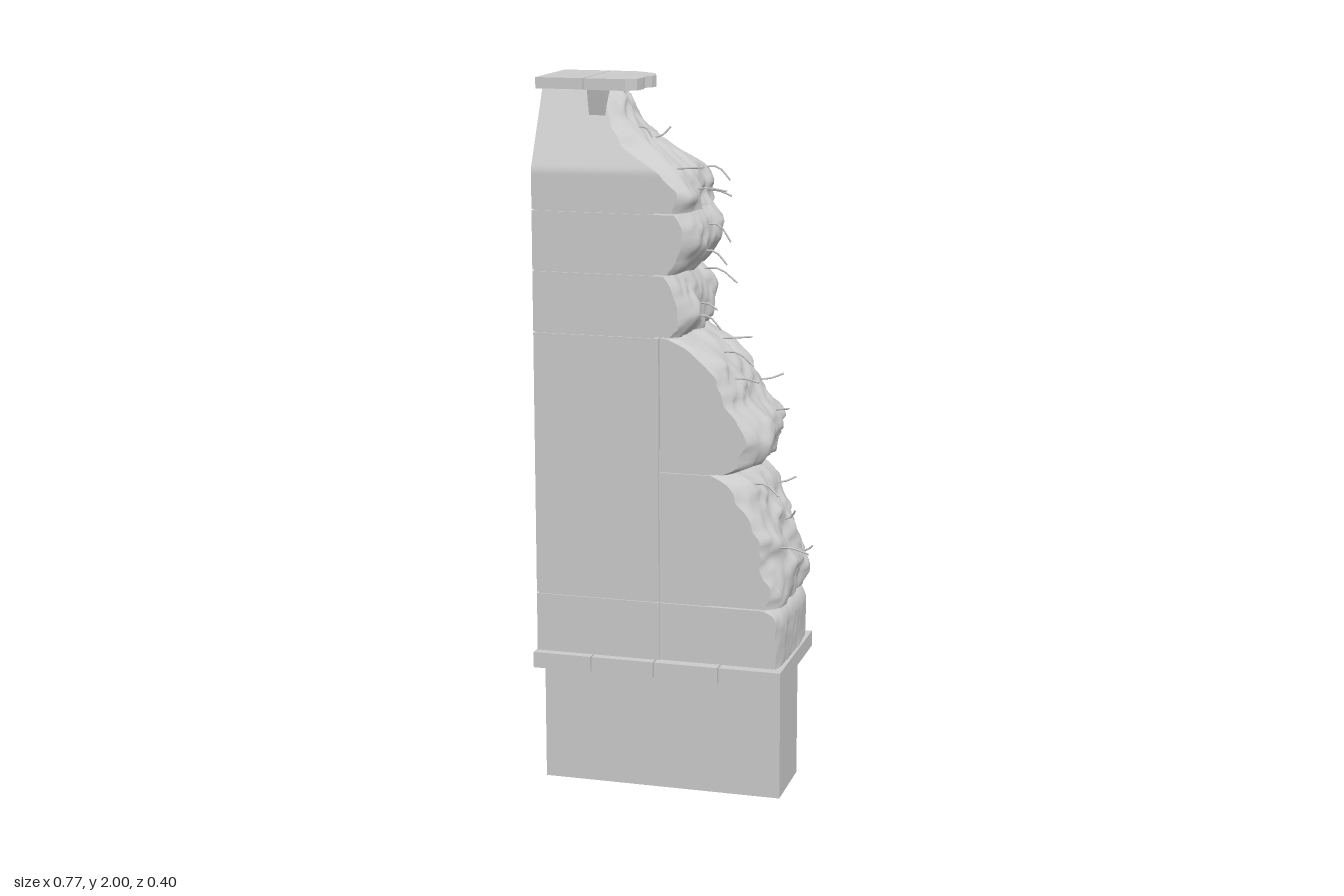
import * as THREE from 'three';

const grey = new THREE.MeshStandardMaterial({ color: 0xcccccc });
const greyOpen = new THREE.MeshStandardMaterial({ color: 0xcccccc, side: THREE.DoubleSide });
const LEFT = -0.378, SEAM = -0.02, GAP = 0.002, Z0 = 0.003;

// Smooth value noise in -1..1
const hash = (i, j) => {
  const s = Math.sin(i * 127.1 + j * 311.7) * 43758.5453;
  return (s - Math.floor(s)) * 2 - 1;
};
function noise(a, b) {
  const i = Math.floor(a), j = Math.floor(b);
  const s = (t) => t * t * (3 - 2 * t);
  const u = s(a - i), v = s(b - j);
  const { lerp } = THREE.MathUtils;
  return lerp(lerp(hash(i, j), hash(i + 1, j), u), lerp(hash(i, j + 1), hash(i + 1, j + 1), u), v);
}

// Half thickness of the wall, narrowing towards the coping
const halfDepth = (y) => 0.172 - 0.107 * Math.max(0, Math.min(1, (y - 1.76) / 0.21));

// Linear lookup in a list of [y, x] points
function lookup(points, y) {
  for (let i = 1; i < points.length; i++) {
    const [y0, x0] = points[i - 1], [y1, x1] = points[i];
    if (y <= y1) return x0 + ((x1 - x0) * Math.max(0, y - y0)) / (y1 - y0);
  }
  return points[points.length - 1][1];
}

// Broken end of each course, bottom to top: [y, x]
const courses = [
  { name: 'footCourse', rough: 0.25, x0: SEAM, edge: [[0.4, 0.325], [0.52, 0.325], [0.55, 0.315], [0.568, 0.28]] },
  { name: 'lowerCourse', rough: 1, x0: SEAM, edge: [[0.568, 0.325], [0.6, 0.335], [0.66, 0.333], [0.72, 0.31], [0.8, 0.285], [0.88, 0.25], [0.92, 0.215], [0.94, 0.16]] },
  { name: 'middleCourse', rough: 1, x0: SEAM, edge: [[0.94, 0.19], [0.965, 0.25], [1.03, 0.27], [1.08, 0.25], [1.15, 0.2], [1.22, 0.16], [1.28, 0.1], [1.312, 0.05]] },
  { name: 'neckCourse', rough: 0.8, x0: LEFT, edge: [[1.312, 0.05], [1.34, 0.07], [1.4, 0.07], [1.45, 0.05], [1.482, 0.025]] },
  { name: 'shoulderCourse', rough: 0.8, x0: LEFT, edge: [[1.482, 0.035], [1.51, 0.06], [1.56, 0.085], [1.61, 0.085], [1.648, 0.06]] },
  { name: 'taperedCourse', rough: 1, x0: LEFT, edge: [[1.648, 0.065], [1.7, 0.065], [1.76, 0.025], [1.79, -0.03], [1.83, -0.09], [1.9, -0.14], [1.97, -0.18]] },
];

// x of the rubble surface; u runs -1..1 across the thickness
function rubbleX(course, y, u) {
  const bump = 0.016 * noise(y * 16, u * 3.2 + 9) + 0.009 * noise(y * 38 + 5, u * 8)
    - 0.014 * Math.max(0, 0.3 - Math.abs(noise(y * 11 + 30, u * 3)));
  return lookup(course.edge, y) + course.rough * (bump - 0.045 * Math.abs(u) ** 5);
}

// Block with flat sides and a crumbled right-hand end
function brokenBlock(course) {
  const y0 = course.edge[0][0] + GAP, y1 = course.edge[course.edge.length - 1][0] - GAP;
  const ny = Math.ceil((y1 - y0) / 0.012);
  const geo = new THREE.BoxGeometry(1, 1, 1, 1, ny, 28);
  const p = geo.attributes.position;
  for (let i = 0; i < p.count; i++) {
    const y = y0 + (p.getY(i) + 0.5) * (y1 - y0);
    const u = p.getZ(i) * 2;
    const x = p.getX(i) > 0 ? rubbleX(course, y, u) : course.x0 + (course.x0 === SEAM ? GAP : 0);
    p.setXYZ(i, x, y, Z0 + u * halfDepth(y));
  }
  geo.computeVertexNormals();
  return geo;
}

function add(parent, name, geometry, material = grey) {
  const mesh = new THREE.Mesh(geometry, material);
  mesh.name = name;
  parent.add(mesh);
  return mesh;
}

function box(parent, name, x0, x1, y0, y1, z0, z1) {
  const mesh = add(parent, name, new THREE.BoxGeometry(x1 - x0, y1 - y0, z1 - z0));
  mesh.position.set((x0 + x1) / 2, (y0 + y1) / 2, (z0 + z1) / 2);
  return mesh;
}

export function createModel() {
  const model = new THREE.Group();
  model.name = 'brokenWallEnd';

  // Foundation: hollow box, open underneath
  const outline = [[LEFT, -0.105], [0.31, -0.105], [0.31, 0.11], [LEFT, 0.11]];
  const sides = new THREE.Group();
  sides.name = 'foundation';
  outline.forEach(([xa, za], i) => {
    const [xb, zb] = outline[(i + 1) % 4];
    const side = add(sides, 'foundationSide', new THREE.PlaneGeometry(Math.hypot(xb - xa, zb - za), 0.36), greyOpen);
    side.position.set((xa + xb) / 2, 0.18, (za + zb) / 2);
    side.rotation.y = Math.atan2(zb - za, -(xb - xa)) + (za === zb ? 0 : Math.PI);
  });
  model.add(sides);

  // Row of ledge slabs
  const joints = [-0.382, -0.213, -0.031, 0.154, 0.33];
  for (let i = 0; i < 4; i++) {
    box(model, 'ledgeSlab', joints[i] + (i ? GAP : 0), joints[i + 1] - (i < 3 ? GAP : 0), 0.355, 0.4, -0.2, 0.2);
  }

  // Intact column and the inner core that closes the joints
  box(model, 'columnFoot', LEFT, SEAM - GAP, 0.4, 0.566, Z0 - 0.172, Z0 + 0.172);
  box(model, 'column', LEFT, SEAM - GAP, 0.57, 1.31, Z0 - 0.172, Z0 + 0.172);
  box(model, 'core', LEFT + 0.004, -0.04, 0.39, 1.7, Z0 - 0.168, Z0 + 0.168);
  box(model, 'lowerCore', -0.05, 0.12, 0.39, 1.0, Z0 - 0.166, Z0 + 0.166);

  // Crumbled courses
  for (const course of courses) add(model, course.name, brokenBlock(course));

  // Bent reinforcing bars: [y, u across thickness, length, rise, sideways]
  const bars = [
    [0.73, 0.7, 0.08, -0.01, -0.01], [0.67, -0.5, 0.03, 0.02, 0.005], [0.78, -0.1, 0.03, 0.03, 0.02],
    [0.9, 0.55, 0.07, -0.02, 0.03], [0.86, -0.6, 0.05, 0.02, -0.01], [1.08, -0.3, 0.035, 0.01, 0.01],
    [1.15, -0.7, 0.06, 0.02, -0.01], [1.19, 0.5, 0.07, 0.0, 0.02], [1.25, 0.2, 0.08, -0.03, 0.0],
    [1.27, -0.4, 0.08, 0.01, -0.01], [1.36, 0.6, 0.06, -0.03, 0.0], [1.38, 0.1, 0.05, -0.01, 0.01],
    [1.46, -0.5, 0.09, -0.03, 0.01], [1.53, 0.3, 0.06, -0.03, 0.0], [1.6, 0.2, 0.06, -0.04, 0.0],
    [1.68, -0.4, 0.07, -0.01, -0.01], [1.7, 0.25, 0.08, 0.0, 0.01], [1.74, -0.6, 0.06, -0.03, 0.0],
    [1.76, 0.55, 0.07, 0.01, 0.02], [1.83, -0.2, 0.04, 0.03, -0.01], [1.86, 0.4, 0.035, -0.02, 0.01],
  ];
  for (const [y, u, len, rise, side] of bars) {
    const course = courses.find((c) => y <= c.edge[c.edge.length - 1][0]);
    const x = rubbleX(course, y, u), z = Z0 + u * halfDepth(y);
    const path = new THREE.CatmullRomCurve3([
      new THREE.Vector3(x - 0.04, y, z),
      new THREE.Vector3(x + len * 0.4, y + 0.006, z + side * 0.3),
      new THREE.Vector3(x + len, y + rise, z + side),
    ]);
    add(model, 'reinforcingBar', new THREE.TubeGeometry(path, 6, 0.0028, 5), greyOpen);
  }

  // Coping: whole slab, snapped slab and the hanger between them
  box(model, 'copingSlab', LEFT, -0.244, 1.97, 2, -0.127, 0.129);
  const snapped = new THREE.Shape([
    [-0.241, -0.127], [-0.17, -0.127], [-0.14, -0.108], [-0.11, -0.085], [-0.094, -0.06], [-0.09, -0.035],
    [-0.08, -0.015], [-0.085, 0.01], [-0.1, 0.03], [-0.092, 0.07], [-0.098, 0.11], [-0.125, 0.129], [-0.241, 0.129],
  ].map(([x, z]) => new THREE.Vector2(x, z)));
  const snappedGeo = new THREE.ExtrudeGeometry(snapped, { depth: 0.031, bevelEnabled: false });
  add(model, 'brokenCopingSlab', snappedGeo.rotateX(Math.PI / 2)).position.y = 2;

  const hangerShape = new THREE.Shape([
    [-0.105, 1.9], [0.107, 1.9], [0.125, 1.971], [-0.122, 1.971],
  ].map(([z, y]) => new THREE.Vector2(-z, y)));
  const hanger = new THREE.ExtrudeGeometry(hangerShape, { depth: 0.045, bevelEnabled: false });
  add(model, 'copingHanger', hanger.rotateY(Math.PI / 2)).position.x = -0.234;

  return model;
}
